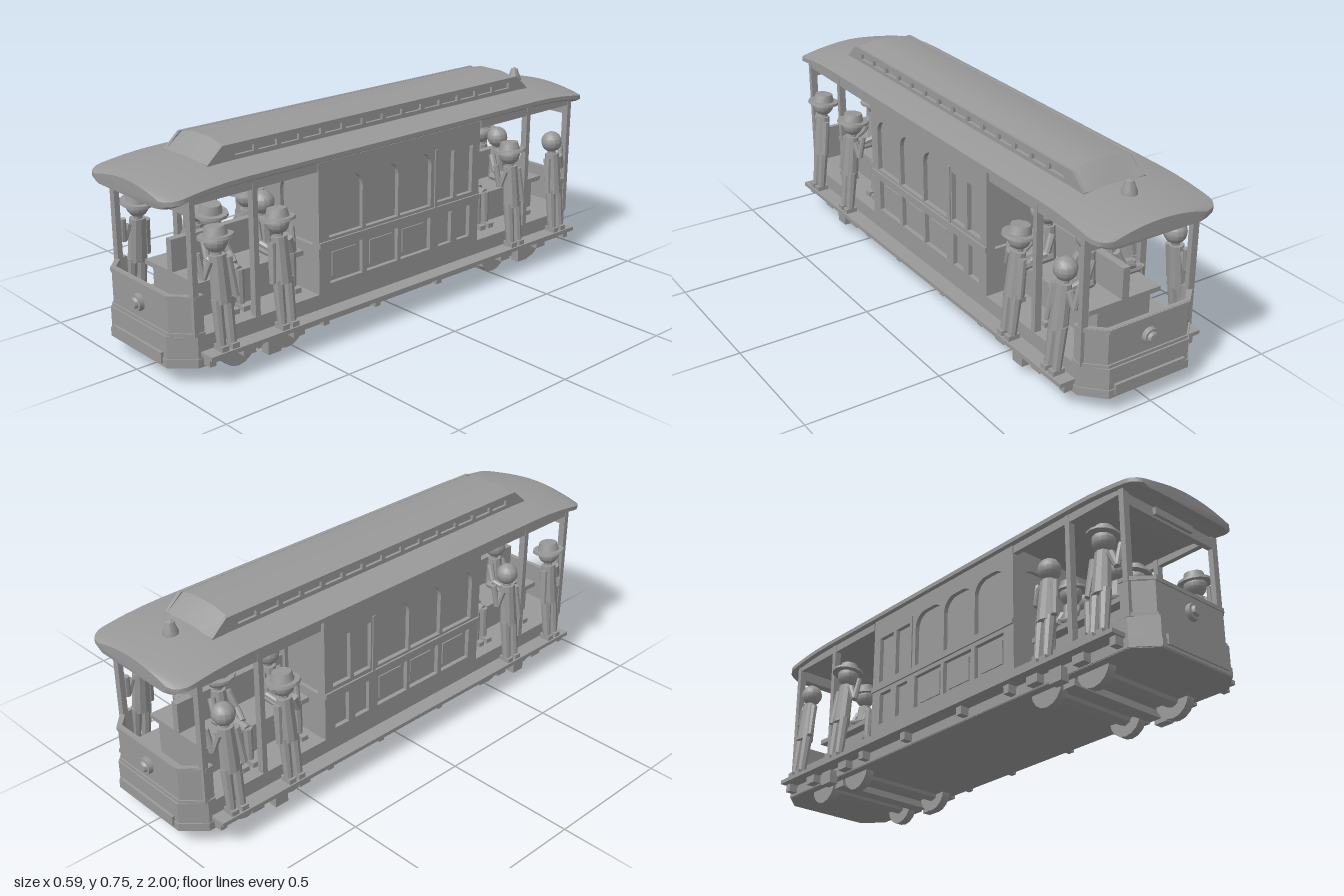
import * as THREE from 'three';
import { toCreasedNormals, mergeVertices } from 'three/addons/utils/BufferGeometryUtils.js';

const grey = new THREE.MeshStandardMaterial({ color: 0x999999 });
grey.name = 'plain grey';
const V = (x, y, z) => new THREE.Vector3(x, y, z);

function add(parent, name, geo, x = 0, y = 0, z = 0) {
  const m = new THREE.Mesh(toCreasedNormals(geo, 0.6), grey);
  m.name = name;
  m.position.set(x, y, z);
  parent.add(m);
  return m;
}
const box = (p, name, w, h, d, x, y, z) => add(p, name, new THREE.BoxGeometry(w, h, d), x, y, z);

// Tapered round bar between two points
function limb(p, name, a, b, ra, rb = ra, sides = 8) {
  const m = add(p, name, new THREE.CylinderGeometry(rb, ra, a.distanceTo(b), sides));
  m.position.copy(a).add(b).multiplyScalar(0.5);
  m.quaternion.setFromUnitVectors(V(0, 1, 0), b.clone().sub(a).normalize());
  return m;
}

// Plan outline [x, z] raised from y0 to y1
function slab(p, name, pts, y0, y1) {
  const s = new THREE.Shape(pts.map(([x, z]) => new THREE.Vector2(x, -z)));
  const g = new THREE.ExtrudeGeometry(s, { depth: y1 - y0, bevelEnabled: false });
  return add(p, name, g.rotateX(-Math.PI / 2), 0, y0, 0);
}

// Rectangle path with upper corners rounded by r
function pane(u0, u1, v0, v1, r = 0) {
  const h = new THREE.Path();
  h.moveTo(u0, v0).lineTo(u1, v0).lineTo(u1, v1 - r);
  if (r) h.absarc(u1 - r, v1 - r, r, 0, Math.PI / 2);
  else h.lineTo(u1, v1);
  h.lineTo(u0 + r, v1);
  if (r) h.absarc(u0 + r, v1 - r, r, Math.PI / 2, Math.PI);
  h.closePath();
  return h;
}
function panel(outline, holes, depth) {
  const s = new THREE.Shape(outline.map(([u, v]) => new THREE.Vector2(u, v)));
  s.holes = holes;
  return new THREE.ExtrudeGeometry(s, { depth, bevelEnabled: false, curveSegments: 6 });
}
// Same panel on both flanks, u running along z
function flankPanels(p, name, outline, holes, depth, outer) {
  for (const x of [outer, -outer + depth])
    add(p, name, panel(outline, holes, depth).rotateY(-Math.PI / 2), x, 0, 0);
}

// Solid skinned through closed [x, y] rings at each z station
function loft(zs, ring) {
  const pos = [], idx = [];
  let n = 0;
  for (const z of zs) {
    const r = ring(z);
    n = r.length;
    r.forEach(([x, y]) => pos.push(x, y, z));
  }
  for (let k = 0; k < zs.length - 1; k++)
    for (let i = 0; i < n; i++) {
      const a = k * n + i, b = k * n + (i + 1) % n;
      idx.push(a, b, b + n, a, b + n, a + n);
    }
  const last = (zs.length - 1) * n;
  for (let i = 1; i < n - 1; i++) idx.push(0, i + 1, i, last, last + i, last + i + 1);
  const g = new THREE.BufferGeometry();
  g.setAttribute('position', new THREE.Float32BufferAttribute(pos, 3));
  g.setIndex(idx);
  g.computeVertexNormals();
  return mergeVertices(g);
}

function buildRoof(car) {
  // Main canopy: arched across, drooping at rounded ends
  const ends = [0.7, 0.78, 0.85, 0.9, 0.94, 0.96, 0.98, 0.993, 1];
  const zs = [...ends.map(z => -z).reverse(), ...ends];
  add(car, 'roof', loft(zs, z => {
    const az = Math.abs(z), t = Math.max(0, (az - 0.7) / 0.3), drop = 0.03 * t * t;
    const c = Math.max(0, az - 0.94);
    const hw = 0.185 + Math.sqrt(Math.max(0, 0.0036 - c * c));
    const ring = [[-hw + 0.022, 0.64 - drop], [hw - 0.022, 0.64 - drop], [hw, 0.652 - drop]];
    for (let i = 0; i <= 12; i++) {
      const u = 1 - i / 6;
      ring.push([u * hw, 0.668 + 0.027 * (1 - u * u) - drop]);
    }
    ring.push([-hw, 0.652 - drop]);
    return ring;
  }));
  // Raised clerestory with sloping ends and a row of side lights
  const raised = (hw, top) => z => {
    const e = Math.abs(z) > 0.75 ? 0 : 1;
    const y = v => 0.69 + (v - 0.69) * e;
    return [[-hw, 0.66], [hw, 0.66], [hw, y(top - 0.013)], [0.05, y(top)], [-0.05, y(top)], [-hw, y(top - 0.013)]];
  };
  add(car, 'clerestory', loft([-0.77, -0.7, 0.7, 0.77], raised(0.115, 0.755)));
  const lights = [];
  for (let i = 0; i < 14; i++) {
    const u = -0.665 + i * 0.096;
    lights.push(pane(u, u + 0.078, 0.703, 0.725));
  }
  flankPanels(car, 'clerestoryLights', [[-0.77, 0.67], [0.77, 0.67], [0.77, 0.69], [0.71, 0.743], [-0.71, 0.743], [-0.77, 0.69]], lights, 0.012, 0.126);
  // Roof bell
  const bell = [[0, 0], [0.028, 0], [0.027, 0.012], [0.018, 0.034], [0.014, 0.048], [0, 0.055]];
  add(car, 'roofBell', new THREE.LatheGeometry(bell.map(([x, y]) => new THREE.Vector2(x, y)), 12), 0, 0.683, -0.84);
}

function buildCabin(car) {
  box(car, 'cabinCore', 0.436, 0.475, 0.76, 0, 0.4075, 0.005);
  const holes = [];
  for (const u of [0.03, -0.14 + 0.005, 0.2]) {
    holes.push(pane(u, u + 0.155, 0.37, 0.58, 0.055));
    holes.push(pane(u, u + 0.15, 0.2, 0.325));
  }
  for (const u of [-0.253, -0.352]) {
    holes.push(pane(u, u + 0.082, 0.375, 0.56));
    holes.push(pane(u + 0.008, u + 0.075, 0.2, 0.325));
  }
  flankPanels(car, 'cabinSide', [[-0.39, 0.17], [0.4, 0.17], [0.4, 0.645], [-0.39, 0.645]], holes, 0.018, 0.235);
  for (const s of [1, -1]) {
    box(car, 'beltRail', 0.012, 0.02, 0.79, s * 0.236, 0.35, 0.005);
    box(car, 'doorStile', 0.008, 0.22, 0.012, s * 0.236, 0.47, -0.158);
    for (const u of [0.275, 0.1, -0.06])
      box(car, 'raisedPanel', 0.008, 0.09, 0.11, s * 0.219, 0.262, u);
    // Bulkhead with two arched windows
    const panes = [pane(0.028, 0.2, 0.345, 0.575, 0.07), pane(-0.2, -0.028, 0.345, 0.575, 0.07)];
    add(car, 'bulkhead', panel([[-0.234, 0.17], [0.234, 0.17], [0.234, 0.645], [-0.234, 0.645]], panes, 0.015), 0, 0, s > 0 ? 0.385 : -0.39);
  }
}

function buildUnderside(car) {
  const hull = [[-0.235, 0.91], [-0.165, 0.985], [0.165, 0.985], [0.235, 0.91], [0.235, -0.91], [0.165, -0.985], [-0.165, -0.985], [-0.235, -0.91]];
  slab(car, 'floorFrame', hull, 0.06, 0.17);
  slab(car, 'skirt', hull.map(([x, z]) => [x * 1.012, z * 1.004]), 0.062, 0.092);
  for (const s of [1, -1]) {
    box(car, 'runningBoard', 0.065, 0.015, 1.8, s * 0.262, 0.108, 0);
    for (const z of [0.88, 0.4, 0.16, -0.15, -0.4, -0.88])
      box(car, 'boardBracket', 0.05, 0.03, 0.025, s * 0.247, 0.085, z);
    box(car, 'truckBeam', 0.41, 0.03, 0.05, 0, 0.05, s * 0.625);
    for (const x of [1, -1]) box(car, 'springBox', 0.035, 0.05, 0.055, x * 0.25, 0.06, s * 0.625);
    for (const z of [0.52, 0.73]) {
      limb(car, 'axle', V(-0.18, 0.07, s * z), V(0.18, 0.07, s * z), 0.032);
      for (const x of [1, -1]) {
        limb(car, 'wheel', V(x * 0.17, 0.07, s * z), V(x * 0.204, 0.07, s * z), 0.07, 0.07, 16);
        box(car, 'axleBox', 0.035, 0.03, 0.05, x * 0.252, 0.08, s * z);
      }
    }
  }
}

// One open platform; s gives the end of the car
function buildPlatform(car, s) {
  const wall = (o, z0) => [[-0.23 - o, z0], [-0.23 - o, 0.91 + o / 2], [-0.165, 0.973 + o], [0.165, 0.973 + o], [0.23 + o, 0.91 + o / 2], [0.23 + o, z0],
    [0.215, z0], [0.215, 0.905], [0.16, 0.958], [-0.16, 0.958], [-0.215, 0.905], [-0.215, z0]].map(([x, z]) => [x, z * s]);
  slab(car, 'dashPanel', wall(0, 0.88), 0.17, 0.31);
  slab(car, 'dashTopRail', wall(0.005, 0.88), 0.295, 0.309);
  slab(car, 'dashBottomRail', wall(0.006, 0.88), 0.168, 0.181);
  box(car, 'bumperPlate', 0.29, 0.037, 0.012, 0, 0.092, s * 0.989);
  limb(car, 'headlampRim', V(0, 0.237, s * 0.97), V(0, 0.237, s * 0.99), 0.031, 0.029, 12);
  limb(car, 'headlampLens', V(0, 0.237, s * 0.985), V(0, 0.237, s * 1.0), 0.023, 0.015, 12);
  box(car, 'endHeader', 0.44, 0.04, 0.02, 0, 0.597, s * 0.91);
  box(car, 'destinationBoard', 0.186, 0.026, 0.016, 0, 0.599, s * 0.925);
  for (const x of [1, -1]) {
    for (const z of [0.91, 0.665]) box(car, 'post', 0.026, 0.475, 0.02, x * 0.221, 0.4075, s * z);
    box(car, 'sideHeader', 0.02, 0.035, 0.52, x * 0.222, 0.632, s * 0.66);
    box(car, 'benchSeat', 0.15, 0.018, 0.46, x * 0.075, 0.301, s * 0.62);
  }
  box(car, 'benchBase', 0.22, 0.13, 0.45, 0, 0.232, s * 0.62);
  box(car, 'benchBack', 0.028, 0.12, 0.46, 0, 0.365, s * 0.62);
}

function head(p, y, z, hat) {
  add(p, 'head', new THREE.SphereGeometry(0.041, 12, 8), 0, y, z);
  limb(p, 'neck', V(0, y - 0.065, z - 0.006), V(0, y - 0.03, z), 0.016);
  if (!hat) return;
  const h = new THREE.Group();
  h.name = 'hat';
  h.position.set(0, y + 0.014, z);
  h.rotation.x = 0.14;
  add(h, 'brim', new THREE.CylinderGeometry(0.06, 0.062, 0.01, 14));
  add(h, 'crown', new THREE.CylinderGeometry(0.034, 0.042, 0.032, 12), 0, 0.018, 0);
  p.add(h);
}

// Rider facing local +z with one arm raised on the given side
function standingRider(hat, arm) {
  const p = new THREE.Group();
  p.name = 'standingRider';
  for (const s of [1, -1]) {
    box(p, 'shoe', 0.028, 0.018, 0.046, s * 0.021, 0.009, -0.004);
    limb(p, 'leg', V(s * 0.021, 0.015, -0.004), V(s * 0.02, 0.17, 0.014), 0.016, 0.02);
  }
  limb(p, 'torso', V(0, 0.155, 0.014), V(0, 0.315, 0.03), 0.036, 0.03, 10).scale.z = 0.85;
  const sh = V(arm * 0.036, 0.3, 0.026), el = V(arm * 0.058, 0.245, 0.03), ha = V(arm * 0.066, 0.33, 0.045);
  limb(p, 'upperArm', sh, el, 0.015, 0.012);
  limb(p, 'foreArm', el, ha, 0.012, 0.01);
  limb(p, 'loweredArm', V(-arm * 0.036, 0.3, 0.024), V(-arm * 0.05, 0.165, 0.004), 0.015, 0.011);
  head(p, 0.362, 0.036, hat);
  return p;
}

function seatedRider(hat) {
  const p = new THREE.Group();
  p.name = 'seatedRider';
  limb(p, 'torso', V(0, 0, 0.005), V(0, 0.125, 0), 0.036, 0.026, 10);
  for (const s of [1, -1]) {
    limb(p, 'thigh', V(s * 0.02, 0.014, 0), V(s * 0.022, 0.008, 0.12), 0.02, 0.017);
    limb(p, 'shin', V(s * 0.022, 0.015, 0.12), V(s * 0.022, -0.115, 0.125), 0.017, 0.014);
    box(p, 'shoe', 0.028, 0.018, 0.048, s * 0.022, -0.115, 0.135);
    limb(p, 'upperArm', V(s * 0.034, 0.105, 0.005), V(s * 0.045, 0.045, 0.035), 0.014, 0.012);
    limb(p, 'foreArm', V(s * 0.045, 0.045, 0.035), V(s * 0.028, 0.025, 0.09), 0.012, 0.01);
  }
  head(p, 0.172, 0, hat);
  return p;
}

function buildRiders(car) {
  const standing = [[1, 0.82, true], [1, 0.57, true], [1, -0.57, true], [1, -0.82, false],
    [-1, 0.82, true], [-1, 0.57, false], [-1, -0.57, true], [-1, -0.82, false]];
  for (const [s, z, hat] of standing) {
    const reach = Math.sign(z) * (Math.abs(z) > 0.7 ? 1 : -1);
    const r = standingRider(hat, s * reach);
    r.position.set(s * 0.262, 0.116, z);
    r.rotation.y = -s * Math.PI / 2;
    car.add(r);
  }
  const seated = [[1, 0.71, true], [1, 0.49, false], [1, -0.48, true], [1, -0.7, false],
    [-1, 0.71, false], [-1, 0.49, true], [-1, -0.48, false], [-1, -0.7, true]];
  for (const [s, z, hat] of seated) {
    const r = seatedRider(hat);
    r.position.set(s * 0.045, 0.31, z);
    r.rotation.y = s * Math.PI / 2;
    car.add(r);
  }
}

export function createModel() {
  const car = new THREE.Group();
  car.name = 'streetcar';
  buildUnderside(car);
  buildCabin(car);
  buildRoof(car);
  for (const s of [1, -1]) buildPlatform(car, s);
  buildRiders(car);
  return car;
}
